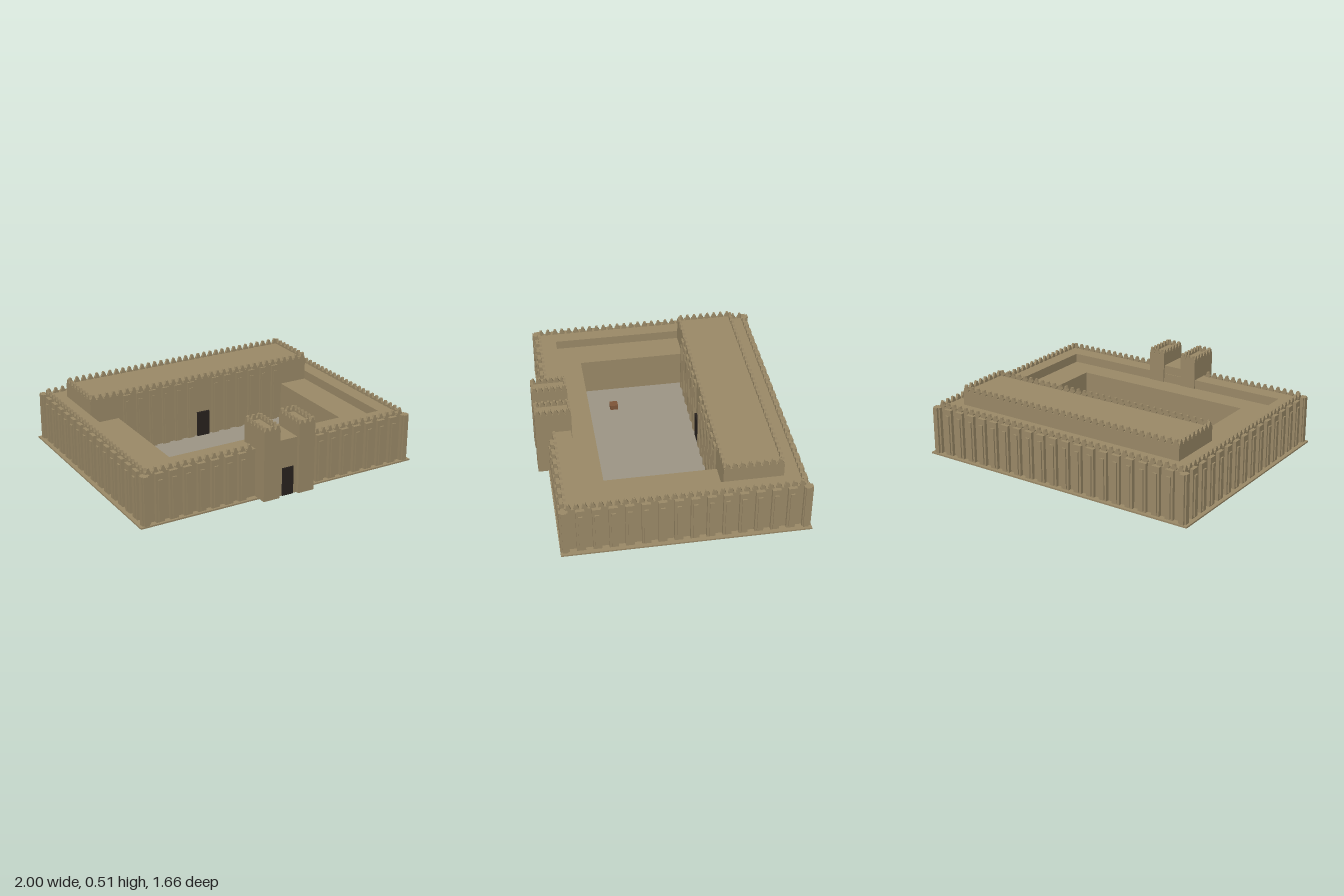
import * as THREE from 'three';
import { mergeGeometries } from 'three/addons/utils/BufferGeometryUtils.js';

const mat = (color) => new THREE.MeshStandardMaterial({ color, flatShading: true });
const mud = mat(0x9a8967), stone = mat(0x9c9585), dark = mat(0x28221e), brick = mat(0x7d5538);

// Box geometry from its limits
function box(x0, x1, y0, y1, z0, z1) {
  return new THREE.BoxGeometry(x1 - x0, y1 - y0, z1 - z0)
    .translate((x0 + x1) / 2, (y0 + y1) / 2, (z0 + z1) / 2);
}

// Solid slab with a rectangular hole, seen from above: [x0, x1, z0, z1]
function ring(outer, inner, y0, y1) {
  const pts = ([x0, x1, z0, z1]) => [[x0, -z0], [x0, -z1], [x1, -z1], [x1, -z0]]
    .map(([x, y]) => new THREE.Vector2(x, y));
  const shape = new THREE.Shape(pts(outer));
  shape.holes.push(new THREE.Path(pts(inner)));
  return new THREE.ExtrudeGeometry(shape, { depth: y1 - y0, bevelEnabled: false })
    .rotateX(-Math.PI / 2).translate(0, y0, 0);
}

// Pointed, stepped merlon standing on y = 0
const merlonShape = new THREE.Shape([
  [-0.018, 0], [0.018, 0], [0.018, 0.008], [0.011, 0.02], [0.006, 0.036],
  [-0.006, 0.036], [-0.011, 0.02], [-0.018, 0.008],
].map(([x, y]) => new THREE.Vector2(x, y)));
const merlon = new THREE.ExtrudeGeometry(merlonShape, { depth: 0.018, bevelEnabled: false })
  .translate(0, 0, -0.009);

// Merlons around a rectangle; skip(x, z) leaves gaps
function battlement([x0, x1, z0, z1], y, pitch = 0.05, skip = () => false) {
  const parts = [];
  const run = (ax, az, bx, bz, turn) => {
    const n = Math.max(1, Math.round((Math.hypot(bx - ax, bz - az)) / pitch));
    for (let i = 0; i < n; i++) {
      const t = (i + 0.5) / n, x = ax + (bx - ax) * t, z = az + (bz - az) * t;
      if (!skip(x, z)) parts.push(merlon.clone().rotateY(turn).translate(x, y, z));
    }
  };
  const e = 0.009;
  for (const z of [z0 + e, z1 - e]) run(x0, z, x1, z, 0);
  for (const x of [x0 + e, x1 - e]) run(x, z0, x, z1, Math.PI / 2);
  return mergeGeometries(parts);
}

// Stepped pilaster facing +z, its back on z = 0
function pilaster(y0, y1, depth, width) {
  return mergeGeometries([
    box(-width / 2, width / 2, y0, y1, -0.01, depth * 0.7),
    box(-width / 4, width / 4, y0 + 0.01, y1 - 0.04, -0.01, depth),
  ]);
}

export function createModel() {
  const model = new THREE.Group();
  const add = (name, geometry, material = mud) => {
    const mesh = new THREE.Mesh(geometry, material);
    mesh.name = name;
    model.add(mesh);
    return mesh;
  };
  const outer = [-0.95, 0.95, -0.785, 0.722];
  const inside = [-0.84, 0.84, -0.665, 0.6];
  const court = [-0.64, 0.64, -0.28, 0.445];

  // Ground and courtyard floor
  add('groundSlab', box(-1, 1, 0, 0.01, -0.83, 0.76));
  add('courtyardFloor', box(court[0], court[1], 0.01, 0.016, court[2], court[3]), stone);

  // Outer wall with walkway, and the lower rooms around the courtyard
  add('outerWall', ring(outer, inside, 0.01, 0.332));
  add('courtyardRooms', ring(inside, court, 0.01, 0.27));
  add('wallMerlons', battlement(outer, 0.332, 0.05, (x, z) => z > 0.6 && Math.abs(x) < 0.2));

  // Pilasters on the four sides of the outer wall
  const rib = pilaster(0.01, 0.332, 0.033, 0.056);
  const ribs = [];
  for (let i = -10; i <= 10; i++) {
    const x = i * 0.0955;
    if (Math.abs(x) > 0.2) ribs.push(rib.clone().translate(x, 0, outer[3]));
    ribs.push(rib.clone().rotateY(Math.PI).translate(x, 0, outer[2]));
  }
  for (let i = 0; i <= 15; i++) {
    const z = 0.73 - i * 0.1017;
    for (const s of [-1, 1]) ribs.push(rib.clone().rotateY(s * Math.PI / 2).translate(s * 0.95, 0, z));
  }
  add('wallPilasters', mergeGeometries(ribs));

  // Great hall along the back
  const hall = [-0.84, 0.84, -0.665, -0.28];
  add('hall', box(hall[0], hall[1], 0.01, 0.43, hall[2], hall[3]));
  add('hallMerlons', battlement(hall, 0.43));
  const hallRib = pilaster(0.01, 0.425, 0.02, 0.05);
  const hallRibs = [];
  for (let i = -6; i <= 6; i++) {
    if (i) hallRibs.push(hallRib.clone().translate(i * 0.0965, 0, hall[3]));
  }
  add('hallPilasters', mergeGeometries(hallRibs));
  add('hallDoor', box(-0.046, 0.046, 0.01, 0.19, -0.29, -0.265), dark);

  // Gatehouse with twin towers
  for (const s of [-1, 1]) {
    const side = s < 0 ? 'right' : 'left';
    const rect = [s * 0.127 - 0.058, s * 0.127 + 0.058, 0.592, 0.828];
    add(side + 'GateTower', box(rect[0], rect[1], 0.01, 0.47, rect[2], rect[3]));
    add(side + 'TowerMerlons', battlement(rect, 0.47, 0.039));
  }
  add('gateBlock', box(-0.07, 0.07, 0.01, 0.39, 0.605, 0.806));
  add('gateDoor', box(-0.04, 0.04, 0.012, 0.2, 0.79, 0.815), dark);

  // Small brick altar in the courtyard
  add('altar', box(-0.45, -0.395, 0.014, 0.05, 0.217, 0.272), brick);

  return model;
}
